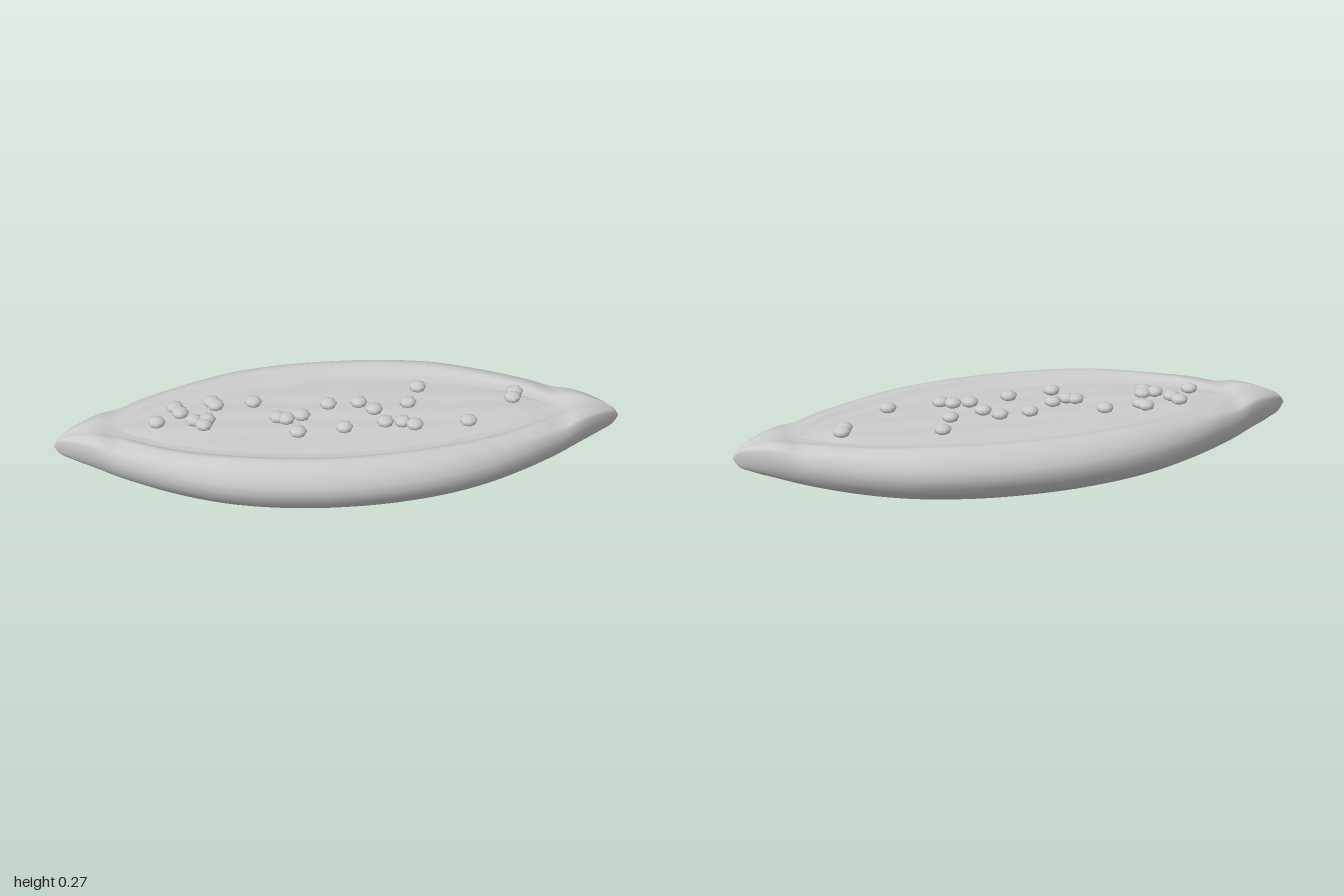
import * as THREE from 'three';

// Smooth curve through [x, value] pairs, mirrored about x = 0
function profile(pairs) {
  const all = [...pairs.slice(1).reverse().map(([x, v]) => [-x, v]), ...pairs];
  const curve = new THREE.CubicInterpolant(all.map(p => p[0]), all.map(p => p[1]), 1);
  return x => curve.evaluate(x)[0];
}

const halfWidth = profile([[0, 0.373], [0.2, 0.361], [0.4, 0.322], [0.6, 0.243], [0.8, 0.133], [0.9, 0.068], [1, 0]]);
const bottom = profile([[0, 0.001], [0.4, 0.015], [0.7, 0.052], [0.85, 0.087], [0.94, 0.114], [0.985, 0.138], [1, 0.165]]);
const rimTop = profile([[0, 0.254], [0.35, 0.252], [0.5, 0.244], [0.6, 0.239], [0.7, 0.234], [0.78, 0.225], [0.84, 0.233], [0.9, 0.226], [0.96, 0.206], [0.985, 0.19], [1, 0.165]]);
const innerY = profile([[0, 0.221], [0.6, 0.219], [0.78, 0.216], [0.85, 0.228], [0.9, 0.224], [0.96, 0.204], [0.985, 0.189], [1, 0.165]]);
const openingCurve = profile([[0, 0.21], [0.2, 0.198], [0.4, 0.162], [0.6, 0.1], [0.7, 0.045], [0.77, 0]]);
const opening = x => (Math.abs(x) < 0.77 ? Math.max(0, openingCurve(x)) : 0);

// Grid surface from point(i, j); j may wrap into a closed ring
function gridSurface(rows, cols, point, closed) {
  const pos = [], index = [];
  for (let i = 0; i <= rows; i++) for (let j = 0; j < cols; j++) pos.push(...point(i, j));
  for (let i = 0; i < rows; i++) {
    for (let j = 0; j < (closed ? cols : cols - 1); j++) {
      const a = i * cols + j, b = i * cols + (j + 1) % cols;
      index.push(a, a + cols, b, b, a + cols, b + cols);
    }
  }
  const g = new THREE.BufferGeometry();
  g.setAttribute('position', new THREE.Float32BufferAttribute(pos, 3));
  g.setIndex(index);
  g.computeVertexNormals();
  return g;
}

export function createModel() {
  const group = new THREE.Group();
  const material = new THREE.MeshStandardMaterial({ color: 0xcccccc, side: THREE.DoubleSide });
  const add = (name, geometry, parent = group) => {
    const mesh = new THREE.Mesh(geometry, material);
    mesh.name = name;
    parent.add(mesh);
    return mesh;
  };

  // Boat-shaped dough: outer wall as [width share, height share]
  const outer = [[0, 0], [0.2, 0.008], [0.4, 0.034], [0.55, 0.075], [0.7, 0.146], [0.82, 0.24], [0.91, 0.36],
    [0.975, 0.49], [1, 0.63], [0.985, 0.75], [0.94, 0.86], [0.87, 0.95]];
  // Rolled rim stepping down to a flat lip, as [share of rim width, share of rim height]
  const inner = [[0.55, 1], [0.43, 0.97], [0.36, 0.8], [0.28, 0.45], [0.2, 0.3], [0, 0.15]];
  const half = outer.length + inner.length;
  const cols = half * 2;
  const rows = 96;
  add('dough', gridSurface(rows, cols, (i, j) => {
    const x = Math.sin((i / rows - 0.5) * Math.PI);
    const w = Math.max(0, halfWidth(x)), f = Math.min(opening(x), w);
    const b = bottom(x), t = rimTop(x), e = Math.min(innerY(x), t);
    const side = j <= half ? 1 : -1;
    const k = side > 0 ? j : cols - j;
    if (k < outer.length) return [x, b + (t - b) * outer[k][1], side * w * outer[k][0]];
    if (k === half) return [x, e, 0];
    const [u, v] = inner[k - outer.length];
    return [x, e + (t - e) * v, side * (f + (w - f) * u)];
  }, true));

  // Gently uneven filling in the opening
  const fillCols = 25;
  add('filling', gridSurface(rows, fillCols, (i, j) => {
    const x = 0.77 * Math.sin((i / rows - 0.5) * Math.PI);
    const s = 2 * j / (fillCols - 1) - 1;
    const z = -s * (opening(x) + 0.004);
    const wave = Math.sin(x * 9 + z * 24) * Math.cos(z * 36 - x * 4);
    const y = innerY(x) + 0.006 + (1 - s * s) * (0.007 + 0.003 * wave) * Math.min(1, opening(x) / 0.08);
    return [x, y, -z];
  }, false));

  // Scattered flattened beads of topping
  const toppings = new THREE.Group();
  toppings.name = 'toppings';
  group.add(toppings);
  const bead = new THREE.SphereGeometry(0.031, 8, 6).scale(1, 0.56, 1);
  const spots = [[-0.637, 0.012], [-0.573, -0.073], [-0.555, -0.037], [-0.508, 0.012], [-0.475, 0.042], [-0.463, 0.01],
    [-0.443, -0.093], [-0.43, -0.073], [-0.297, -0.08], [-0.217, 0.02], [-0.188, 0.032], [-0.133, 0.015], [-0.153, 0.112],
    [-0.035, -0.045], [0.008, 0.1], [0.073, -0.045], [0.122, 0.002], [0.153, 0.08], [0.213, 0.085], [0.253, 0.106],
    [0.245, -0.028], [0.291, -0.12], [0.442, 0.1], [0.617, -0.025], [0.63, -0.06]];
  for (const [x, z] of spots) add('topping', bead, toppings).position.set(x, 0.252, z);

  return group;
}
